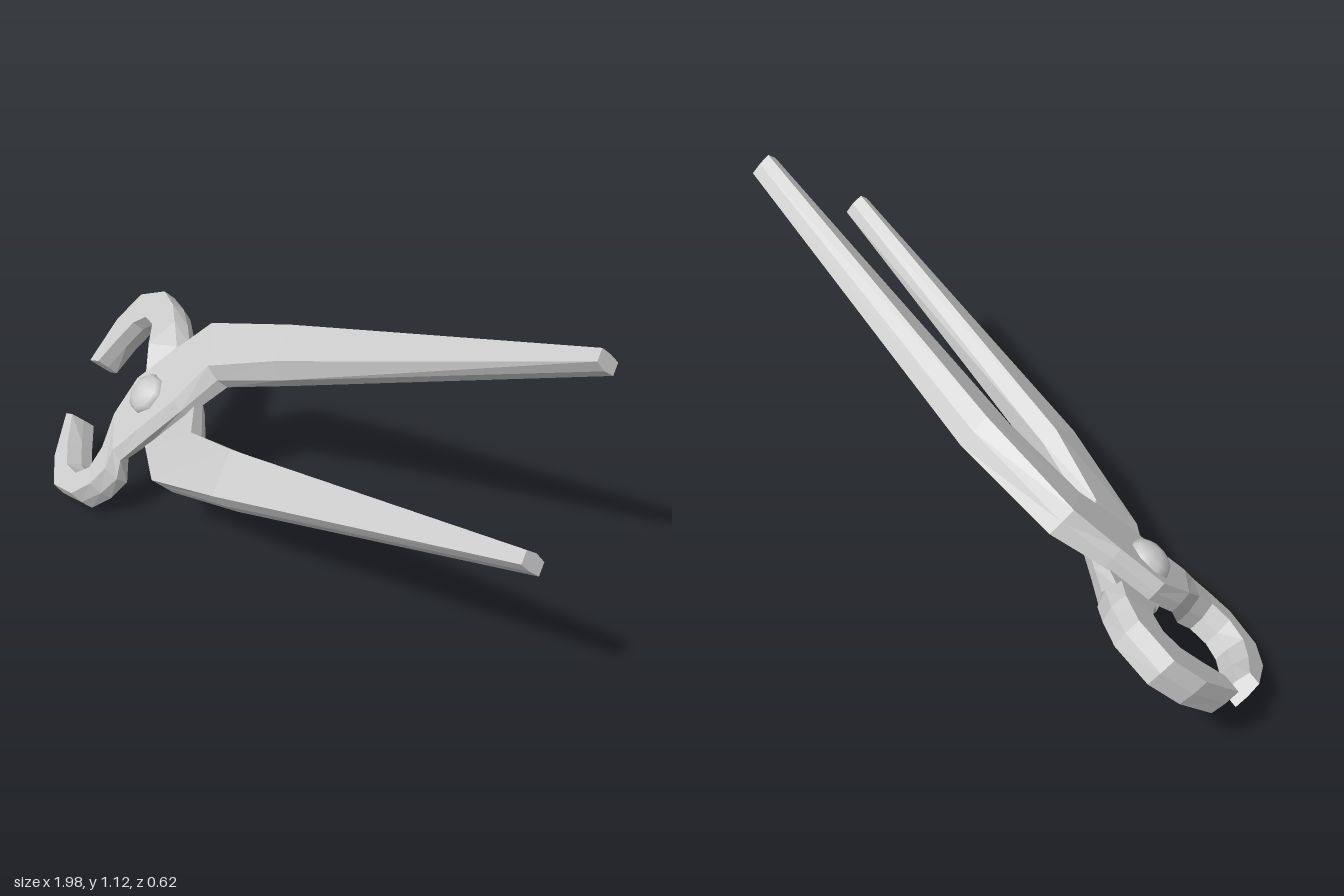
import * as THREE from 'three';

const grey = new THREE.MeshStandardMaterial({ color: 0xcccccc, flatShading: true });
const smoothGrey = new THREE.MeshStandardMaterial({ color: 0xcccccc });

// Cross-sections from handle tip to jaw tip, in the plane of the pliers (x along, y across, z thick):
// [edge E x, y,  edge F x, y,  z low, z high,  top bevel share on E, on F,  low bevel share on E, on F]
const stations = [
  [1.60, 0.275, 1.60, 0.230, -0.036, 0.037, 0.06, 0.15, 0.06, 0.15],
  [0.51, 0.283, 0.50, 0.122, -0.060, 0.048, 0.03, 0.22, 0.04, 0.06],
  [0.165, 0.26, 0.25, 0.090, -0.028, 0.064, 0.0, 0.15, 0.0, 0.0],
  [0.03, 0.16, 0.16, -0.030, -0.002, 0.064, 0.03, 0.1, 0.0, 0.0],
  [-0.09, 0.055, 0.05, -0.140, -0.002, 0.064, 0.03, 0.1, 0.0, 0.05],
  [-0.13, -0.07, -0.03, -0.220, -0.005, 0.064, 0.08, 0.12, 0.0, 0.15],
  [-0.14, -0.18, -0.045, -0.275, -0.045, 0.050, 0.15, 0.15, 0.0, 0.1],
  [-0.165, -0.25, -0.10, -0.330, -0.048, 0.045, 0.2, 0.15, 0.0, 0.05],
  [-0.22, -0.275, -0.18, -0.372, -0.048, 0.045, 0.2, 0.1, 0.0, 0.0],
  [-0.275, -0.25, -0.305, -0.357, -0.048, 0.045, 0.2, 0.1, 0.0, 0.0],
  [-0.325, -0.18, -0.378, -0.260, -0.047, 0.045, 0.2, 0.1, 0.0, 0.0],
  [-0.375, -0.10, -0.425, -0.100, -0.046, 0.045, 0.15, 0.1, 0.0, 0.0],
];

// Six-cornered section between the two edges, with a ridge halfway up each side
function section([ex, ey, fx, fy, lo, hi, topE, topF, lowE, lowF]) {
  const at = (t, z) => [ex + (fx - ex) * t, ey + (fy - ey) * t, z];
  const mid = (lo + hi) / 2;
  return [at(lowE, lo), at(0, mid), at(topE, hi), at(1 - topF, hi), at(1, mid), at(1 - lowF, lo)];
}

function loft(rings) {
  const n = rings[0].length, pos = [], idx = [];
  rings.forEach((r) => r.forEach((p) => pos.push(...p)));
  for (let s = 0; s < rings.length - 1; s++) {
    for (let i = 0; i < n; i++) {
      const a = s * n + i, b = s * n + ((i + 1) % n);
      idx.push(a, a + n, b + n, a, b + n, b);
    }
  }
  const end = (rings.length - 1) * n;
  for (let i = 1; i < n - 1; i++) idx.push(0, i, i + 1, end, end + i + 1, end + i);
  const g = new THREE.BufferGeometry();
  g.setAttribute('position', new THREE.Float32BufferAttribute(pos, 3));
  g.setIndex(idx);
  const flat = g.toNonIndexed();
  flat.computeVertexNormals();
  return flat;
}

export function createModel() {
  const model = new THREE.Group();
  const pliers = new THREE.Group();
  pliers.name = 'pliers';

  // Two identical halves, the second turned over about the long axis
  const halfGeometry = loft(stations.map(section));
  ['frontHalf', 'backHalf'].forEach((name, i) => {
    const half = new THREE.Mesh(halfGeometry, grey);
    half.name = name;
    half.rotation.x = i * Math.PI;
    pliers.add(half);
  });

  // Domed eight-sided pivot rivet through both halves
  const dome = [[0.07, 0.06], [0.06, 0.082], [0.035, 0.097], [0, 0.103]];
  const profile = [...dome.map(([r, y]) => [r, -y]).reverse(), ...dome];
  const rivet = new THREE.Mesh(
    new THREE.LatheGeometry(profile.map(([r, y]) => new THREE.Vector2(r, y)), 8),
    smoothGrey
  );
  rivet.name = 'rivet';
  rivet.rotation.x = Math.PI / 2;
  pliers.add(rivet);

  // Tilted resting pose
  const u = new THREE.Vector3(0.932, 0.361, 0.044).normalize();
  const v = new THREE.Vector3(-0.194, 0.594, -0.78);
  const n = new THREE.Vector3().crossVectors(u, v).normalize();
  v.crossVectors(n, u);
  pliers.quaternion.setFromRotationMatrix(new THREE.Matrix4().makeBasis(u, v, n));
  model.add(pliers);

  // Stand on the ground, centred
  model.updateMatrixWorld(true);
  const box = new THREE.Box3().setFromObject(model, true);
  const c = box.getCenter(new THREE.Vector3());
  pliers.position.set(-c.x, -box.min.y, -c.z);
  return model;
}
